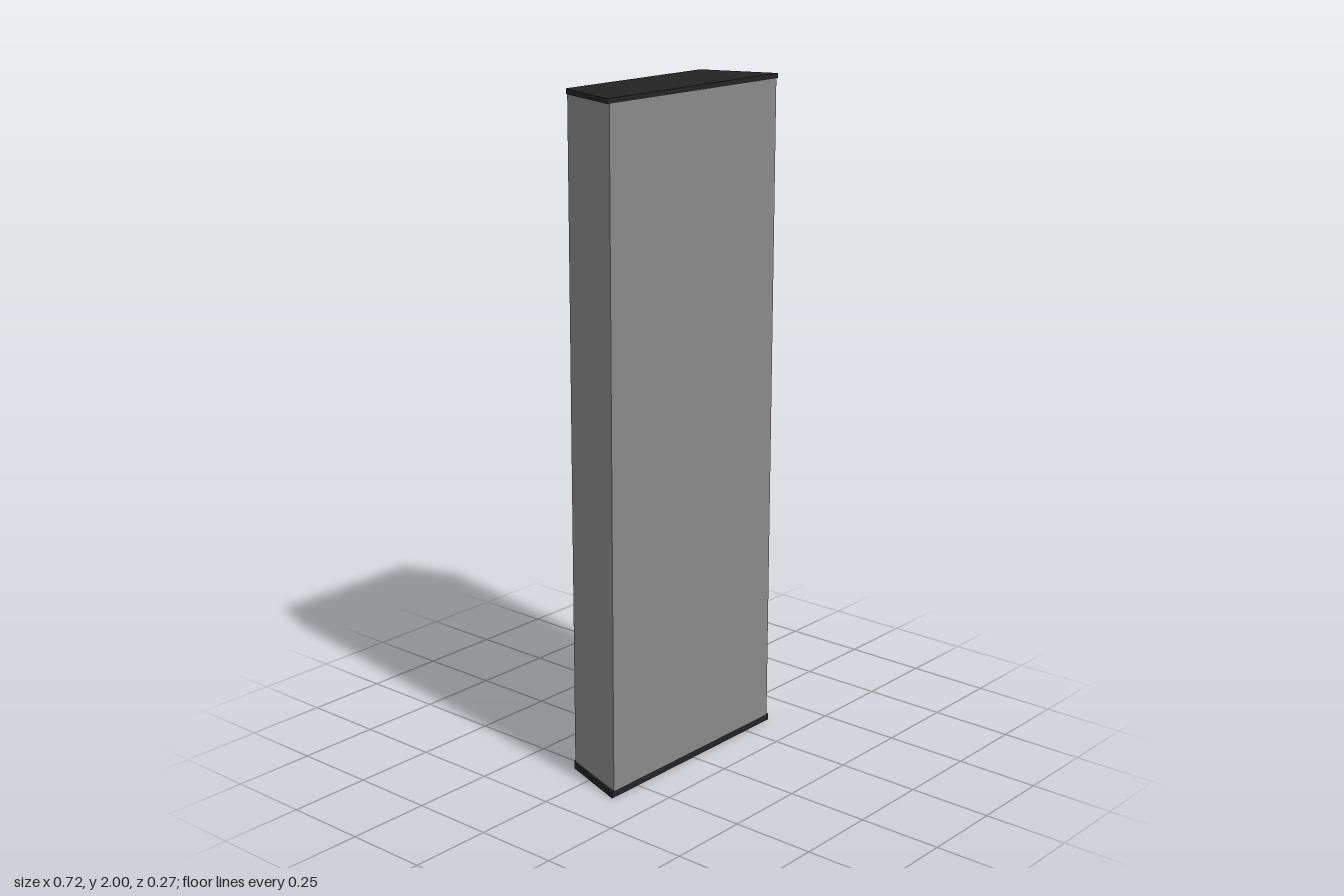
import * as THREE from 'three';
import { toCreasedNormals } from 'three/addons/utils/BufferGeometryUtils.js';

const mat = (name, color) => {
  const m = new THREE.MeshStandardMaterial({ color });
  m.name = name;
  return m;
};

// Rounded rectangle centred on the origin
function roundedRect(w, h, r, Kind = THREE.Shape) {
  const s = new Kind(), x = w / 2, y = h / 2;
  s.moveTo(-x + r, -y);
  s.lineTo(x - r, -y);
  s.absarc(x - r, -y + r, r, -Math.PI / 2, 0);
  s.lineTo(x, y - r);
  s.absarc(x - r, y - r, r, 0, Math.PI / 2);
  s.lineTo(-x + r, y);
  s.absarc(-x + r, y - r, r, Math.PI / 2, Math.PI);
  s.lineTo(-x, -y + r);
  s.absarc(-x + r, -y + r, r, Math.PI, Math.PI * 1.5);
  return s;
}

// Trapezoid plan of the column, with small rounded corners at the back
function columnPlan(front, back) {
  const s = new THREE.Shape(), zf = -0.13, zb = 0.095;
  s.moveTo(-front, zf);
  s.lineTo(front, zf);
  s.lineTo(back + 0.004, zb - 0.012);
  s.quadraticCurveTo(back, zb, back - 0.012, zb);
  s.lineTo(-back + 0.012, zb);
  s.quadraticCurveTo(-back, zb, -back - 0.004, zb - 0.012);
  s.closePath();
  return s;
}

function prism(plan, y0, y1) {
  const g = new THREE.ExtrudeGeometry(plan, { depth: y1 - y0, bevelEnabled: false, curveSegments: 5 });
  g.rotateX(-Math.PI / 2).translate(0, y0, 0);
  return toCreasedNormals(g, 0.5);
}

// Plate with a rounded upper edge whose top lies at the given height
function plate(shape, top, bevel, size) {
  const g = new THREE.ExtrudeGeometry(shape, {
    depth: 0.004, bevelThickness: bevel, bevelSize: size, bevelSegments: 4, curveSegments: 8,
  });
  g.translate(0, 0, top - 0.004 - bevel);
  return toCreasedNormals(g, 0.6);
}

function turned(points) {
  const g = new THREE.LatheGeometry(points.map(([r, z]) => new THREE.Vector2(r, z)), 40);
  return toCreasedNormals(g.rotateX(Math.PI / 2), 0.5);
}

export function createModel() {
  const model = new THREE.Group();
  model.name = 'controlPanel';
  const metal = mat('grey metal', 0x8a8a8a);
  const black = mat('black plastic', 0x232323);
  const mesh = (charcoal => charcoal)(mat('speaker charcoal', 0x3e3e3e));
  const blue = mat('screen blue', 0x3c66c4);
  const light = mat('segment light grey', 0xbcbcc0);
  const red = mat('button red', 0xb82c0c);
  const salmon = mat('ring salmon', 0xe6604c);
  const olive = mat('button dark grey', 0x5a5950);

  const add = (parent, name, geometry, material, x = 0, y = 0, z = 0) => {
    const m = new THREE.Mesh(geometry, material);
    m.name = name;
    m.position.set(x, y, z);
    parent.add(m);
    return m;
  };

  // Column and end caps
  add(model, 'column', prism(columnPlan(0.354, 0.28), 0.02, 1.986), metal);
  add(model, 'bottomCap', prism(columnPlan(0.362, 0.285), 0, 0.02), black);
  add(model, 'topCap', prism(columnPlan(0.362, 0.285), 1.986, 2), black);

  // Everything on the back face, with local +z pointing outwards
  const face = new THREE.Group();
  face.name = 'controlFace';
  face.position.set(0.008, 0, -0.095);
  face.rotation.y = Math.PI;
  model.add(face);

  // Speaker disc
  add(face, 'speaker', new THREE.CircleGeometry(0.11, 40), mesh, 0, 1.81, 0.002);

  // Display: raised frame, blue screen, lit segment bars
  const frame = roundedRect(0.474, 0.49, 0.03);
  frame.holes.push(roundedRect(0.414, 0.43, 0.03, THREE.Path));
  add(face, 'displayFrame', plate(frame, 0.012, 0.008, 0.01), metal, 0, 1.375);
  add(face, 'screen', new THREE.ShapeGeometry(roundedRect(0.42, 0.44, 0.03)), blue, 0, 1.375, 0.003);
  for (const x of [-0.029, 0.078, 0.136]) {
    add(face, 'displayBar', new THREE.PlaneGeometry(0.028, 0.24), light, x, 1.385, 0.005);
  }

  // Two push buttons on rounded housings
  const makeButton = (name, y, domeMaterial) => {
    const g = new THREE.Group();
    g.name = name;
    g.position.y = y;
    face.add(g);
    add(g, 'housing', plate(roundedRect(0.23, 0.225, 0.06), 0.02, 0.014, 0.02), metal);
    add(g, 'ring', turned([[0.116, 0.015], [0.114, 0.022], [0.104, 0.026], [0, 0.026]]), salmon);
    add(g, 'gap', turned([[0.102, 0.024], [0.102, 0.029], [0, 0.029]]), black);
    add(g, 'rim', turned([[0.099, 0.027], [0.099, 0.034], [0.094, 0.036], [0, 0.036]]), red);
    add(g, 'dome', turned([[0.0995, 0.031], [0.0985, 0.035], [0.088, 0.038], [0.06, 0.0395], [0, 0.04]]), domeMaterial);
    return g;
  };
  makeButton('upperButton', 0.832, red);
  const lower = makeButton('lowerButton', 0.472, olive);
  for (const x of [-0.022, 0.022]) {
    add(lower, 'buttonMark', new THREE.PlaneGeometry(0.016, 0.085), light, x, 0.012, 0.0415);
  }
  return model;
}
